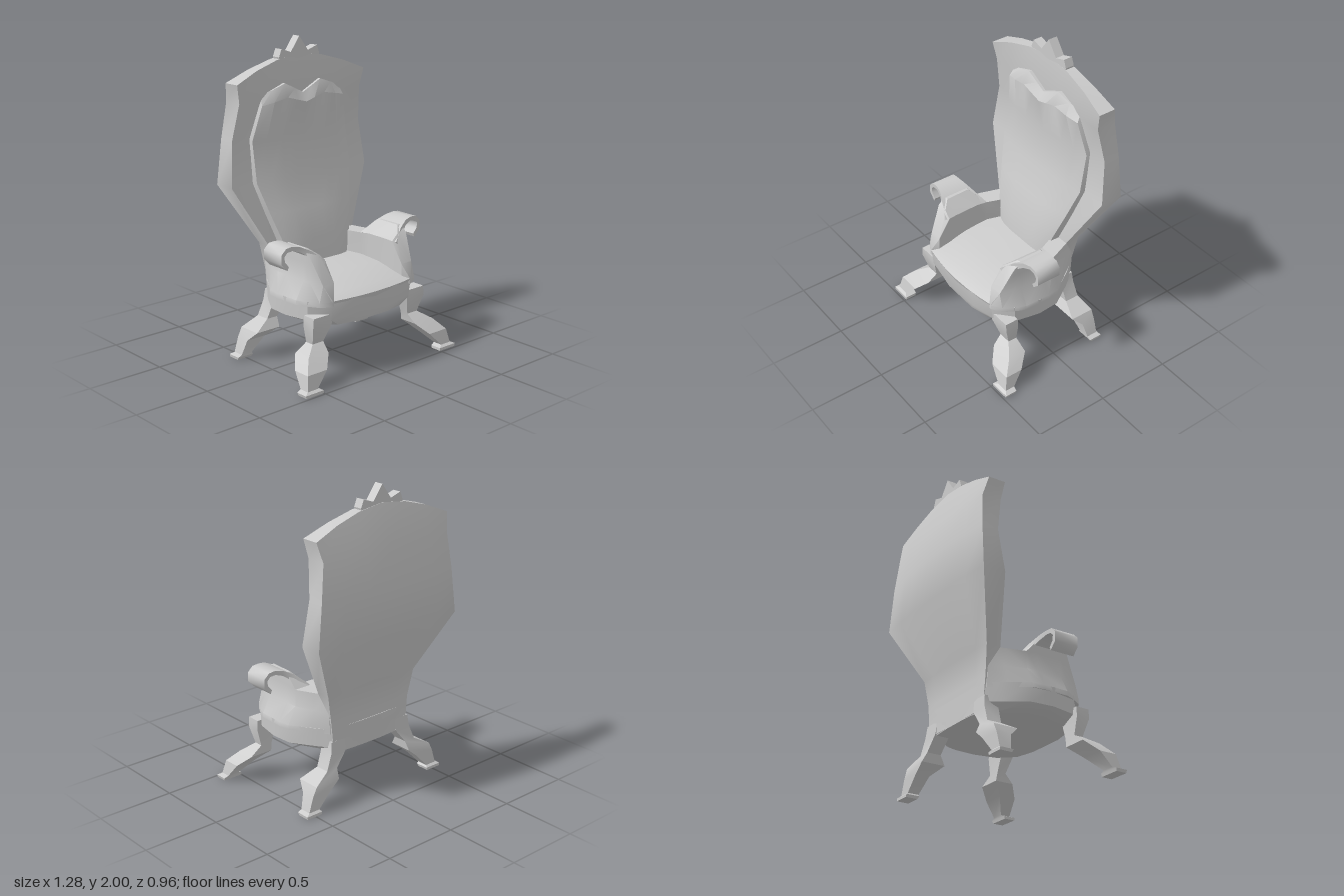
import * as THREE from 'three';
import { toCreasedNormals } from 'three/addons/utils/BufferGeometryUtils.js';

const material = new THREE.MeshStandardMaterial({ color: 0xcccccc });

// Closed solid from cross-section rings; ring points i and n-1-i face each other, which closes the ends.
function loft(name, rings, crease = 0.6) {
  const tris = [];
  const v = (p) => new THREE.Vector3(...p);
  const tri = (a, b, c) => {
    const A = v(a), B = v(b), C = v(c);
    if (B.clone().sub(A).cross(C.clone().sub(A)).length() > 1e-8) tris.push([A, B, C]);
  };
  const quad = (a, b, c, d) => { tri(a, b, c); tri(a, c, d); };
  const n = rings[0].length;
  for (let s = 0; s < rings.length - 1; s++) {
    const r = rings[s], t = rings[s + 1];
    for (let i = 0; i < n; i++) quad(r[i], r[(i + 1) % n], t[(i + 1) % n], t[i]);
  }
  const first = rings[0], last = rings[rings.length - 1];
  for (let i = 0; i < n / 2 - 1; i++) {
    quad(first[n - 1 - i], first[n - 2 - i], first[i + 1], first[i]);
    quad(last[i], last[i + 1], last[n - 2 - i], last[n - 1 - i]);
  }
  // turn all faces outward
  const volume = tris.reduce((sum, [a, b, c]) => sum + a.dot(b.clone().cross(c)), 0);
  const points = tris.flatMap(([a, b, c]) => (volume < 0 ? [a, c, b] : [a, b, c]));
  const geometry = toCreasedNormals(new THREE.BufferGeometry().setFromPoints(points), crease);
  const mesh = new THREE.Mesh(geometry, material);
  mesh.name = name;
  return mesh;
}

// Front row of points followed by the reversed back row
const ringOf = (us, front, back) => [...us.map(front), ...us.slice().reverse().map(back)];
const mirror = (rings, side) => rings.map((r) => r.map(([x, y, z]) => [x * side, y, z]));
const COLS = [-1, -0.68, -0.35, 0, 0.35, 0.68, 1];

// Upholstered base with a bowed front and sloping underside
function base() {
  const plan = [[0.16, 0.4], [0.33, 0.37], [0.44, 0.27], [0.475, 0.1], [0.465, -0.05], [0.37, -0.2], [0.31, -0.28], [0.1, -0.29]];
  const levels = [[0.335, 0.8, 0.94], [0.38, 0.99, 0.97], [0.5, 1, 1]];
  return loft('base', levels.map(([y, sx, sz]) => [
    ...plan.map(([x, z]) => [x * sx, y, z * (z > 0 ? sz : 1)]),
    ...plan.slice().reverse().map(([x, z]) => [-x * sx, y, z * (z > 0 ? sz : 1)]),
  ]));
}

// Seat cushion rising toward the back
function seat() {
  const rows = [[0.41, 0.505, 0.33, 0.035], [0.34, 0.525, 0.32, 0.02], [0.12, 0.565, 0.31, 0], [-0.18, 0.585, 0.28, 0]];
  return loft('seat', rows.map(([z, y, w, bow], k) => ringOf(COLS,
    (u) => [u * w, y + (k ? 0.012 * (1 - u * u) : 0), z - bow * u * u],
    (u) => [u * w, 0.45, z - bow * u * u - (k ? 0 : 0.02)])));
}

// Tall shield-shaped back: y, half width, front z, back z at the edge, back bulge
function backrest() {
  const rows = [
    [0.34, 0.3, -0.2, -0.285, 0.005], [0.55, 0.32, -0.2, -0.28, 0.005], [0.73, 0.355, -0.2, -0.295, 0.01],
    [1.11, 0.557, -0.3, -0.45, 0.03], [1.4, 0.525, -0.33, -0.44, 0.04], [1.63, 0.495, -0.29, -0.42, 0.025],
    [1.75, 0.52, -0.275, -0.39, 0],
  ];
  return loft('backrest', rows.map(([y, w, zf, zb, bulge], k) => {
    const top = k === rows.length - 1 ? 1 : 0;
    const arch = (u) => y + top * 0.14 * (1 - Math.abs(u) ** 1.7);
    return ringOf(COLS,
      (u) => [u * w, arch(u), zf - top * 0.035 * (1 - u * u)],
      (u) => [u * w, arch(u), zb - bulge * (1 - u * u) + top * 0.02 * (1 - u * u)]);
  }));
}

// Padded back cushion with a heart-shaped top
function backCushion() {
  const us = [-1, -0.75, -0.45, -0.2, 0, 0.2, 0.45, 0.75, 1];
  const rows = [
    [0.54, 0.24, -0.095, -0.22], [0.74, 0.285, -0.115, -0.24], [0.93, 0.345, -0.175, -0.29],
    [1.12, 0.4, -0.235, -0.36], [1.38, 0.4, -0.275, -0.37], [1.6, 0.345, -0.24, -0.34], [1.66, 0.33, -0.245, -0.33],
  ];
  return loft('backCushion', rows.map(([y, w, zf, zb], k) => {
    const lobe = (u) => {
      const a = Math.abs(u), top = a < 0.45 ? -0.01 + 0.07 * a / 0.45 : 0.06 * (1 - a) / 0.55;
      return k === rows.length - 1 ? y + top : k === rows.length - 2 ? y + top * 0.6 : y;
    };
    return ringOf(us,
      (u) => [u * w * 0.97, lobe(u), zf - 0.03 * u ** 4 - (k === rows.length - 1 ? 0.03 : 0)],
      (u) => [u * w, lobe(u), zb]);
  }));
}

// Pointed crown on the top rail
function crown() {
  const half = [[0.165, 1.88], [0.145, 1.93], [0.07, 1.905]];
  const shape = new THREE.Shape([
    [-0.15, 1.82], [0.15, 1.82], ...half, [0, 2], ...half.slice().reverse().map(([x, y]) => [-x, y]),
  ].map(([x, y]) => new THREE.Vector2(x, y)));
  const geometry = new THREE.ExtrudeGeometry(shape, { depth: 0.06, bevelEnabled: false });
  geometry.translate(0, 0, -0.368);
  const mesh = new THREE.Mesh(geometry, material);
  mesh.name = 'crown';
  return mesh;
}

// Arm wall sections from front to back: z, top height, inner x, outer x low, outer x high
function armWall() {
  const stations = [
    [0.375, 0.51, 0.32, 0.335, 0.33], [0.335, 0.6, 0.285, 0.4, 0.37], [0.25, 0.77, 0.285, 0.45, 0.405],
    [0.2, 0.81, 0.29, 0.47, 0.41], [0.03, 0.81, 0.295, 0.475, 0.41], [-0.05, 0.72, 0.295, 0.468, 0.41],
    [-0.17, 0.725, 0.245, 0.385, 0.365], [-0.27, 0.73, 0.24, 0.32, 0.33],
  ];
  const heights = [0.47, 0.5, 0.61, 0.73, 0.81];
  return stations.map(([z, top, xi, lo, hi]) => {
    const y = (h) => Math.min(h, top);
    return ringOf(heights,
      (h) => [lo + (hi - lo) * THREE.MathUtils.clamp((y(h) - 0.5) / 0.11, 0, 1), y(h), z],
      (h) => [xi + Math.max(0, y(h) - 0.73) * 1.1, y(h), z]);
  });
}

// Rolled armrest: outer x, y, inner x, y, back z, front z
function armScroll() {
  return [
    [0.295, 0.725, 0.32, 0.7, -0.05, 0.275], [0.375, 0.797, 0.39, 0.76, 0, 0.235], [0.445, 0.832, 0.445, 0.798, 0.025, 0.21],
    [0.5, 0.842, 0.495, 0.815, 0.035, 0.2], [0.545, 0.838, 0.535, 0.812, 0.035, 0.2], [0.58, 0.805, 0.558, 0.79, 0.035, 0.2],
    [0.58, 0.745, 0.555, 0.757, 0.035, 0.2], [0.535, 0.7, 0.525, 0.722, 0.035, 0.2],
  ].map(([ox, oy, ix, iy, z0, z1]) => [[ox, oy, z0], [ox, oy, z1], [ix, iy, z1], [ix, iy, z0]]);
}

// Leg levels: y, inner x, outer x, back z, front z
const FRONT_LEG = [
  [0.42, 0.31, 0.465, 0.265, 0.355], [0.36, 0.32, 0.47, 0.265, 0.355], [0.245, 0.36, 0.445, 0.26, 0.32],
  [0.19, 0.37, 0.53, 0.255, 0.38], [0.12, 0.44, 0.592, 0.33, 0.445], [0.03, 0.53, 0.61, 0.4, 0.465],
  [0.018, 0.5, 0.64, 0.405, 0.483], [0, 0.5, 0.635, 0.41, 0.483],
];
const REAR_LEG = [
  [0.42, 0.21, 0.32, -0.285, -0.195], [0.345, 0.21, 0.33, -0.292, -0.195], [0.245, 0.29, 0.37, -0.3, -0.205],
  [0.185, 0.3, 0.48, -0.33, -0.17], [0.125, 0.37, 0.51, -0.33, -0.235], [0.03, 0.46, 0.54, -0.33, -0.255],
  [0.018, 0.45, 0.568, -0.345, -0.255], [0, 0.455, 0.565, -0.345, -0.265],
];
const legRings = (levels) => levels.map(([y, x0, x1, z0, z1]) => [[x0, y, z0], [x1, y, z0], [x1, y, z1], [x0, y, z1]]);

export function createModel() {
  const chair = new THREE.Group();
  chair.name = 'armchair';
  chair.add(base(), seat(), backrest(), backCushion(), crown());
  for (const [side, label] of [[1, 'left'], [-1, 'right']]) {
    chair.add(
      loft(`${label}ArmWall`, mirror(armWall(), side)),
      loft(`${label}ArmScroll`, mirror(armScroll(), side), 1),
      loft(`${label}FrontLeg`, mirror(legRings(FRONT_LEG), side), 0.5),
      loft(`${label}RearLeg`, mirror(legRings(REAR_LEG), side), 0.5),
    );
  }
  return chair;
}
